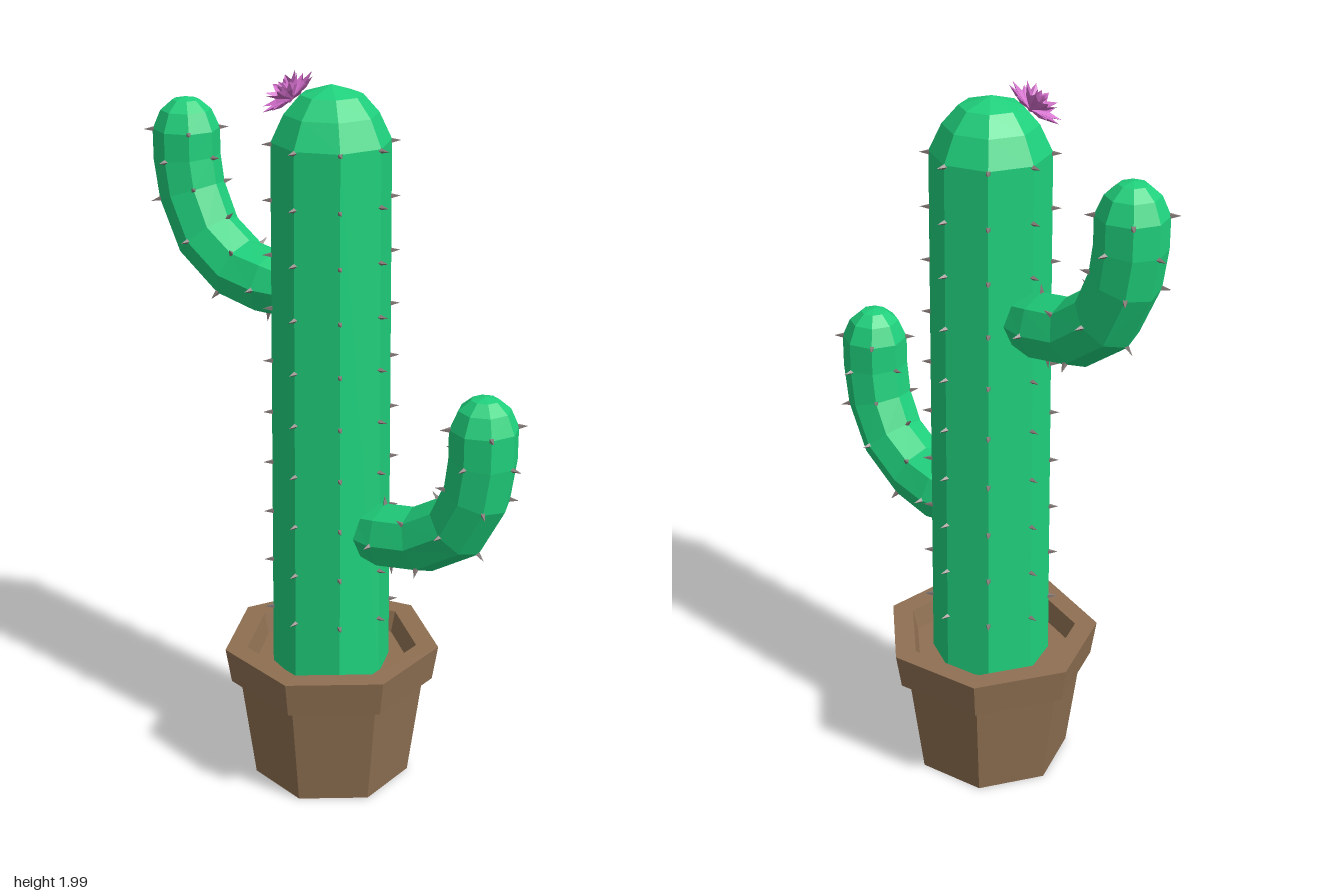
import * as THREE from 'three';

const paint = (color, side = THREE.FrontSide) =>
  new THREE.MeshStandardMaterial({ color, side, flatShading: true });

function lathe(name, profile, sides, start, material) {
  const pts = profile.map(([r, y]) => new THREE.Vector2(r, y));
  const mesh = new THREE.Mesh(new THREE.LatheGeometry(pts, sides, start), material);
  mesh.name = name;
  return mesh;
}

// Sweeps an octagon along rings [x, y, radius] lying in the xy plane
const SIDES = 8;
function ringFrame(rings, i) {
  const a = rings[Math.max(i - 1, 0)], b = rings[Math.min(i + 1, rings.length - 1)];
  const t = new THREE.Vector2(b[0] - a[0], b[1] - a[1]).normalize();
  return (angle) => new THREE.Vector3(-t.y * Math.cos(angle), t.x * Math.cos(angle), Math.sin(angle));
}
function sweep(rings) {
  const pos = [], index = [];
  rings.forEach(([x, y, r], i) => {
    const out = ringFrame(rings, i);
    for (let j = 0; j < SIDES; j++) {
      const p = out((j / SIDES) * Math.PI * 2).multiplyScalar(r);
      pos.push(x + p.x, y + p.y, p.z);
      if (i === 0) continue;
      const k = (j + 1) % SIDES, lo = (i - 1) * SIDES, hi = i * SIDES;
      index.push(lo + j, lo + k, hi + k, lo + j, hi + k, hi + j);
    }
  });
  const geo = new THREE.BufferGeometry();
  geo.setAttribute('position', new THREE.Float32BufferAttribute(pos, 3));
  geo.setIndex(index);
  geo.computeVertexNormals();
  return geo;
}

// Pointed petal, creased along its middle, growing along +y
function petalGeometry(length, width) {
  const geo = new THREE.BufferGeometry();
  const h = length * 0.6, d = width * 0.25;
  geo.setAttribute('position', new THREE.Float32BufferAttribute([
    0, 0, 0, width / 2, h, d, 0, h, 0, 0, length, d, -width / 2, h, d], 3));
  geo.setIndex([0, 1, 2, 2, 1, 3, 0, 2, 4, 4, 2, 3]);
  geo.computeVertexNormals();
  return geo;
}

export function createModel() {
  const model = new THREE.Group();
  model.name = 'pottedCactus';
  const clay = paint(0x8f7052), green = paint(0x1fd07c);
  const spineMat = paint(0x857b78), pink = paint(0xd06cc8, THREE.DoubleSide);
  const up = new THREE.Vector3(0, 1, 0);

  // Seven-sided pot with a flared rim and a sunken floor
  model.add(lathe('pot', [[0, 0], [0.22, 0], [0.26, 0.3], [0.286, 0.3], [0.302, 0.4],
    [0.24, 0.4], [0.225, 0.34], [0, 0.34]], 7, -Math.PI / 2, clay));

  // Trunk
  model.add(lathe('trunk', [[0, 0.3], [0.163, 0.34], [0.155, 1.81], [0.122, 1.88],
    [0.08, 1.928], [0, 1.953]], SIDES, 0, green));

  // Spines
  const spines = new THREE.Group();
  spines.name = 'spines';
  const cone = new THREE.ConeGeometry(0.008, 0.028, 4).translate(0, 0.01, 0);
  function addSpine(point, dir) {
    const spine = new THREE.Mesh(cone, spineMat);
    spine.name = 'spine';
    spine.position.copy(point);
    spine.quaternion.setFromUnitVectors(up, dir);
    spines.add(spine);
  }
  for (let row = 0; row < 10; row++) {
    for (let j = 0; j < SIDES; j++) {
      const a = (j / SIDES) * Math.PI * 2, y = 0.51 + row * 0.144;
      const r = 0.163 - (0.008 * (y - 0.34)) / 1.47;
      const dir = new THREE.Vector3(Math.sin(a), 0, Math.cos(a));
      addSpine(dir.clone().multiplyScalar(r).setY(y), dir);
    }
  }

  // Arms: curved path, then a domed tip
  function addArm(name, path) {
    const R = 0.09, [x0, y0] = path[0], [x1, y1] = path[path.length - 1];
    const rings = [[x0 - Math.sign(x0) * 0.005, y0, 0], [x0, y0, 0.072],
      ...path.slice(1).map(([x, y]) => [x, y, R]),
      [x1, y1 + 0.05, 0.068], [x1, y1 + 0.077, 0.036], [x1, y1 + 0.085, 0]];
    const arm = new THREE.Mesh(sweep(rings), green);
    arm.name = name;
    model.add(arm);
    for (let i = 2; i <= path.length; i++) {
      const out = ringFrame(rings, i), [x, y, r] = rings[i];
      for (let j = i % 2; j < SIDES; j += 2) {
        const dir = out((j / SIDES) * Math.PI * 2);
        addSpine(dir.clone().multiplyScalar(r).add(new THREE.Vector3(x, y, 0)), dir);
      }
    }
  }
  addArm('leftArm', [[0.11, 0.765], [0.19, 0.768], [0.3, 0.787], [0.41, 0.855],
    [0.465, 0.96], [0.48, 1.06], [0.48, 1.145]]);
  addArm('rightArm', [[-0.12, 1.395], [-0.2, 1.4], [-0.31, 1.42], [-0.415, 1.495],
    [-0.47, 1.61], [-0.485, 1.7], [-0.485, 1.777]]);
  model.add(spines);

  // Flower: three whorls of petals, steeper towards the middle
  const flower = new THREE.Group();
  flower.name = 'flower';
  const whorls = [[10, 0.084, 0.036, 1.4], [8, 0.072, 0.032, 0.9], [6, 0.056, 0.026, 0.4]];
  whorls.forEach(([count, length, width, tilt], w) => {
    const geo = petalGeometry(length, width);
    for (let i = 0; i < count; i++) {
      const petal = new THREE.Mesh(geo, pink);
      petal.name = 'petal';
      petal.rotation.set(-tilt, ((i + w * 0.5) / count) * Math.PI * 2, 0, 'YXZ');
      flower.add(petal);
    }
  });
  flower.position.set(-0.07, 1.918, 0.066);
  flower.quaternion.setFromUnitVectors(up, new THREE.Vector3(-0.42, 0.8, 0.42).normalize());
  model.add(flower);

  return model;
}
